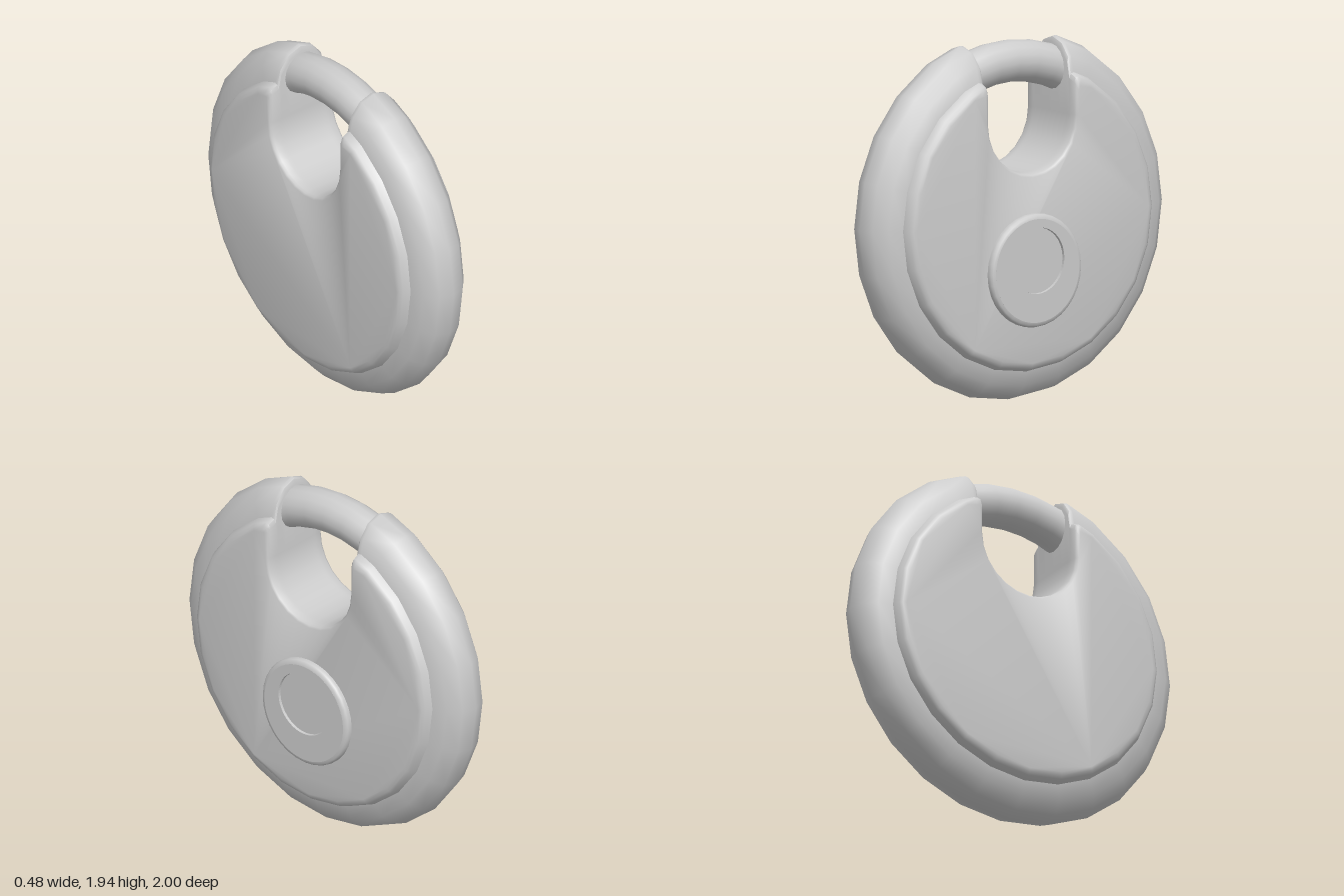
import * as THREE from 'three';
import { toCreasedNormals } from 'three/addons/utils/BufferGeometryUtils.js';

const CENTRE_X = -0.02;   // middle of the body's thickness
const CENTRE_Y = 1;       // middle of the disc
const SLOT_Y = 1.535;     // centre of the slot's round end
const SIDES = 24;

const material = new THREE.MeshStandardMaterial({ color: 0xcccccc });

function addMesh(group, name, geometry) {
  const mesh = new THREE.Mesh(geometry, material);
  mesh.name = name;
  group.add(mesh);
  return mesh;
}

// Half of the rim profile: [offset from the middle, disc radius, slot half-width]
const HALF_PROFILE = [
  [0, 1, 0.29], [0.08, 0.975, 0.29], [0.14, 0.91, 0.29], [0.16, 0.83, 0.29],
  [0.2, 0.815, 0.293], [0.213, 0.8, 0.299], [0.22, 0.78, 0.31],
];

// Outline of one slice, counter-clockwise: disc with a U-shaped slot in its top
function sliceOutline(radius, w) {
  const step = (2 * Math.PI) / SIDES;
  const rim = (a) => new THREE.Vector2(Math.sin(a) * radius, CENTRE_Y + Math.cos(a) * radius);
  const p = rim(step), q = rim(2 * step);
  const rimY = (u) => p.y + ((u - p.x) / (q.x - p.x)) * (q.y - p.y);

  // rounded corner between rim and slot wall
  const top = rimY(w + 0.03);
  const corner = [[w + 0.03, top], [w + 0.009, top - 0.006], [w, top - 0.03]];

  const points = corner.slice().reverse().map(([u, y]) => new THREE.Vector2(-u, y));
  for (let i = 2; i <= SIDES - 2; i++) points.push(rim(-i * step));
  corner.forEach(([u, y]) => points.push(new THREE.Vector2(u, y)));
  const arcSteps = 12;
  for (let i = 0; i <= arcSteps; i++) {
    const a = (-Math.PI * i) / arcSteps;
    points.push(new THREE.Vector2(Math.cos(a) * w, SLOT_Y + Math.sin(a) * w));
  }
  return points;
}

// Body: slices joined along x and closed with two flat faces
function bodyGeometry() {
  const mirrored = HALF_PROFILE.slice(1).reverse().map(([d, r, w]) => [-d, r, w]);
  const layers = [...mirrored, ...HALF_PROFILE].map(([d, r, w]) => ({
    x: CENTRE_X + d, points: sliceOutline(r, w),
  }));
  const positions = [];
  const put = (layer, i) => {
    const v = layer.points[i % layer.points.length];
    positions.push(layer.x, v.y, -v.x);
  };
  for (let k = 0; k < layers.length - 1; k++) {
    const a = layers[k], b = layers[k + 1];
    for (let i = 0; i < a.points.length; i++) {
      put(a, i); put(a, i + 1); put(b, i + 1);
      put(a, i); put(b, i + 1); put(b, i);
    }
  }
  const first = layers[0], last = layers[layers.length - 1];
  for (const [i, j, k] of THREE.ShapeUtils.triangulateShape(last.points, [])) {
    put(last, i); put(last, j); put(last, k);
    put(first, i); put(first, k); put(first, j);
  }
  const geometry = new THREE.BufferGeometry();
  geometry.setAttribute('position', new THREE.Float32BufferAttribute(positions, 3));
  return toCreasedNormals(geometry, 0.8);
}

// Lock collar: rounded rim, flat ring with an off-centre recess, and the core
function lockCollar() {
  const group = new THREE.Group();
  group.name = 'lockCollar';
  group.position.set(0.2, 0.725, 0);

  const rimProfile = [[0.305, -0.02], [0.308, 0.012], [0.304, 0.026], [0.296, 0.036], [0.28, 0.04]]
    .map(([r, y]) => new THREE.Vector2(r, y));
  addMesh(group, 'collarRim', new THREE.LatheGeometry(rimProfile, 32).rotateZ(-Math.PI / 2));

  const coreY = 0.055;
  const ring = new THREE.Shape().absarc(0, 0, 0.28, 0, Math.PI * 2, false);
  ring.holes.push(new THREE.Path().absarc(0, coreY, 0.18, 0, Math.PI * 2, true));
  addMesh(group, 'collarFace', new THREE.ExtrudeGeometry(ring, {
    depth: 0.05, bevelEnabled: false, curveSegments: 32,
  }).translate(0, 0, -0.01).rotateY(Math.PI / 2));

  const core = addMesh(group, 'lockCore',
    new THREE.CylinderGeometry(0.178, 0.178, 0.04, 32).rotateZ(-Math.PI / 2));
  core.position.set(0.006, coreY, 0);
  return group;
}

export function createModel() {
  const model = new THREE.Group();
  model.name = 'discPadlock';

  addMesh(model, 'body', bodyGeometry());

  // Shackle: short ring section bridging the slot
  const arc = THREE.MathUtils.degToRad(54);
  const shackle = addMesh(model, 'shackle', new THREE.TorusGeometry(0.83, 0.114, 16, 6, arc)
    .rotateZ(Math.PI / 2 - arc / 2).rotateY(Math.PI / 2));
  shackle.position.set(CENTRE_X, CENTRE_Y, 0);

  model.add(lockCollar());
  return model;
}
